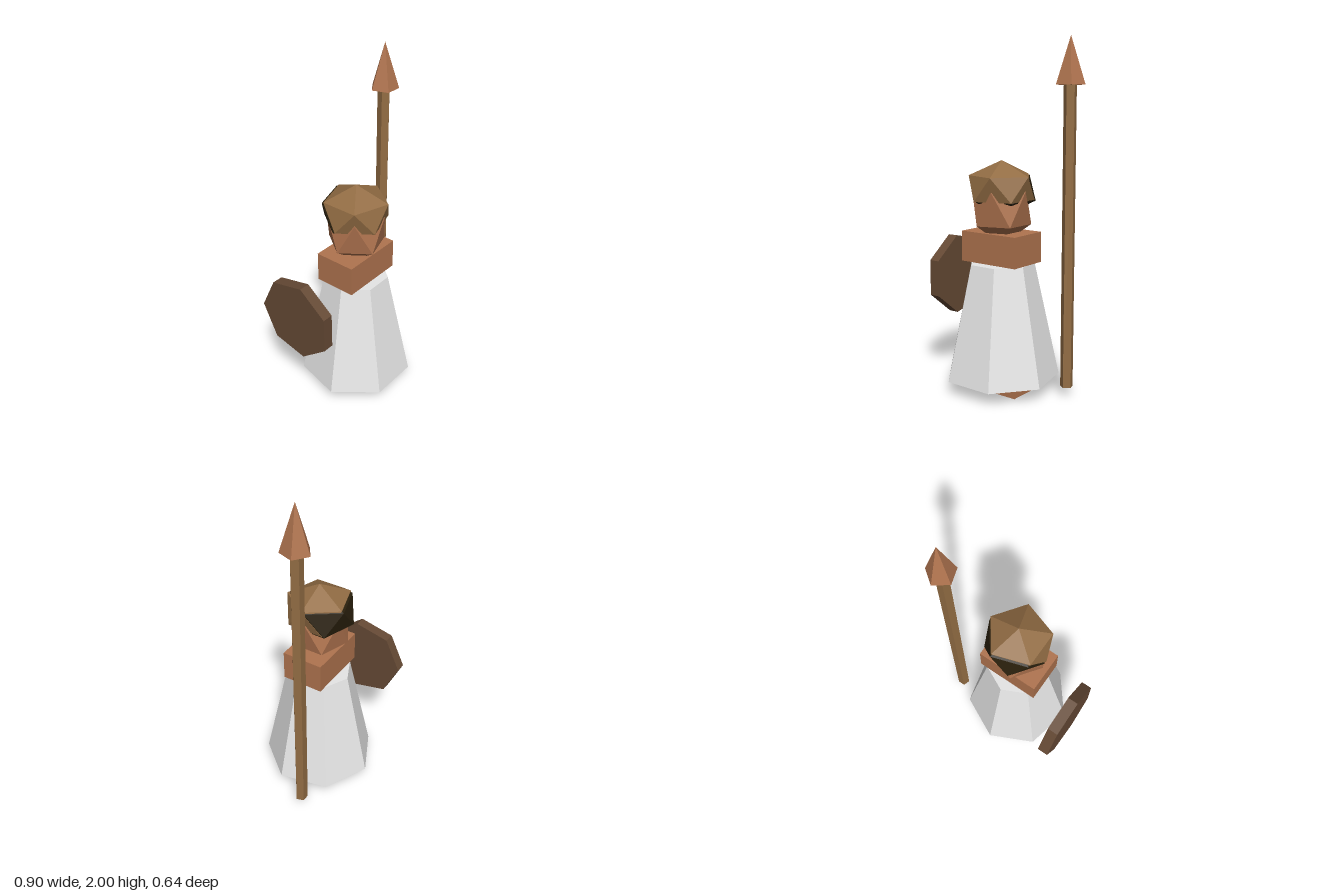
import * as THREE from 'three';

const mat = (name, color) => {
  const m = new THREE.MeshStandardMaterial({ color, flatShading: true });
  m.name = name;
  return m;
};

// Five-sided icosahedron with separate width and height; the lower cap is optional.
function icosahedron(radius, height, lowerCap) {
  const ring = (y, offset) => Array.from({ length: 6 }, (_, k) => {
    const a = (k + offset) * Math.PI * 2 / 5;
    return [0.894 * radius * Math.cos(a), y * height, 0.894 * radius * Math.sin(a)];
  });
  const u = ring(0.447, 0), l = ring(-0.447, 0.5);
  const top = [0, height, 0], bottom = [0, -height, 0];
  const points = [];
  for (let k = 0; k < 5; k++) {
    points.push(top, u[k + 1], u[k]);
    points.push(u[k], u[k + 1], l[k]);
    points.push(l[k + 1], l[k], u[k + 1]);
    if (lowerCap) points.push(l[k], l[k + 1], bottom);
  }
  const g = new THREE.BufferGeometry();
  g.setAttribute('position', new THREE.Float32BufferAttribute(points.flat(), 3));
  g.computeVertexNormals();
  return g;
}

export function createModel() {
  const group = new THREE.Group();
  const cloth = mat('pale cloth', 0xe6e6e6);
  const skin = mat('copper skin', 0xb0744f);
  const wood = mat('brown wood', 0x936d44);
  const darkWood = mat('dark wood', 0x664a35);
  const hairColour = mat('dark hair', 0x2a200d);
  const helmetMat = wood.clone();
  helmetMat.name = 'helmet brown';
  helmetMat.side = THREE.DoubleSide;

  const add = (name, geometry, material, x, y, z) => {
    const mesh = new THREE.Mesh(geometry, material);
    mesh.name = name;
    mesh.position.set(x, y, z);
    group.add(mesh);
    return mesh;
  };
  const prism = (top, bottom, height, sides, start) =>
    new THREE.CylinderGeometry(top, bottom, height, sides, 1, false, start);

  // Feet, robe and shoulders
  add('rightFoot', new THREE.BoxGeometry(0.155, 0.09, 0.245), skin, -0.128, 0.045, 0.018);
  add('leftFoot', new THREE.BoxGeometry(0.155, 0.09, 0.245), skin, 0.098, 0.045, 0.018);
  add('robe', prism(0.19, 0.335, 0.665, 7, Math.PI), cloth, -0.014, 0.4075, 0.015);
  add('shoulders', new THREE.BoxGeometry(0.38, 0.175, 0.248), skin, -0.015, 0.8325, 0.015);

  // Head, hair and helmet
  add('head', icosahedron(0.188, 0.218, true), skin, -0.012, 1.06, 0.015);
  add('hair', icosahedron(0.205, 0.152, true), hairColour, -0.012, 1.163, -0.001);
  add('helmet', icosahedron(0.209, 0.155, false), helmetMat, -0.012, 1.171, 0.015);

  // Spear
  add('spearShaft', prism(0.037, 0.037, 1.69, 5, 0), wood, 0.368, 0.895, -0.097);
  add('spearTip', new THREE.ConeGeometry(0.083, 0.26, 5, 1, false, Math.PI), skin, 0.368, 1.87, -0.097);

  // Shield
  const shield = add('shield', prism(0.246, 0.246, 0.065, 7, Math.PI), darkWood, -0.418, 0.61, -0.074);
  shield.rotation.z = Math.PI / 2;

  return group;
}
